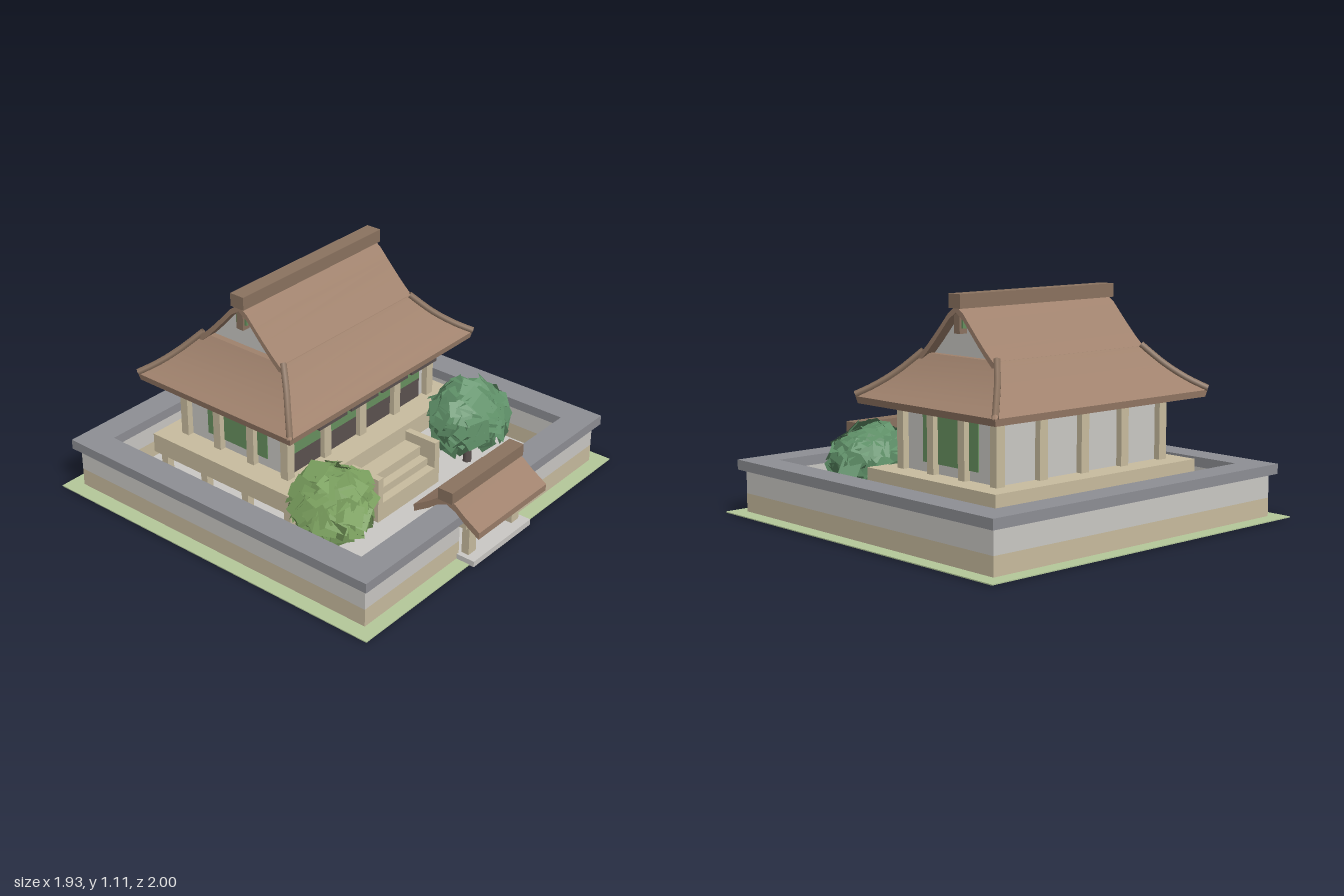
import * as THREE from 'three';
import { toCreasedNormals } from 'three/addons/utils/BufferGeometryUtils.js';

const mat = (name, color, side = THREE.FrontSide) => {
  const m = new THREE.MeshStandardMaterial({ color, side });
  m.name = name;
  return m;
};

export function createModel() {
  const M = {
    roof: mat('roof brown', 0xa0826d),
    ridge: mat('ridge brown', 0x8b7360),
    wood: mat('pale wood', 0xc9bd9f),
    plaster: mat('plaster', 0xcbc9c5),
    cap: mat('slate', 0x8e8f95),
    grass: mat('grass', 0xb5c99a),
    green: mat('shutter green', 0x68915f),
    dark: mat('dark wood', 0x5c5250),
    leafA: mat('light leaves', 0x7a9f5e, THREE.DoubleSide),
    leafB: mat('cool leaves', 0x5f9068, THREE.DoubleSide),
  };
  const model = new THREE.Group();
  model.name = 'templeCourtyard';
  const group = (name, x = 0, z = 0) => {
    const g = new THREE.Group();
    g.name = name;
    g.position.set(x, 0, z);
    model.add(g);
    return g;
  };
  const add = (parent, name, geo, m) => {
    const mesh = new THREE.Mesh(geo, m);
    mesh.name = name;
    parent.add(mesh);
    return mesh;
  };
  // Box given by its limits on each axis
  const box = (parent, name, m, x0, x1, y0, y1, z0, z1) => {
    const mesh = add(parent, name, new THREE.BoxGeometry(x1 - x0, y1 - y0, z1 - z0), m);
    mesh.position.set((x0 + x1) / 2, (y0 + y1) / 2, (z0 + z1) / 2);
    return mesh;
  };

  // Ground
  const yard = group('courtyard', 0, -0.035);
  box(yard, 'grassBorder', M.grass, -0.965, 0.965, 0.004, 0.009, -0.963, 0.96);
  box(yard, 'pavedFloor', M.plaster, -0.87, 0.87, 0.002, 0.016, -0.87, 0.87);

  // Perimeter wall in layers, with an opening for the gate at the front
  const layers = [
    ['wallBase', M.wood, 0.01, 0.1, 0.888, 0.805],
    ['wallPlaster', M.plaster, 0.1, 0.216, 0.888, 0.805],
    ['wallCap', M.cap, 0.216, 0.265, 0.918, 0.775],
  ];
  for (const [name, m, y0, y1, o, i] of layers) {
    box(yard, name + 'Back', m, -o, o, y0, y1, -o, -i);
    for (const s of [-1, 1]) {
      const side = s < 0 ? [-o, -i] : [i, o];
      box(yard, name + 'Side', m, ...side, y0, y1, -i, i);
      const front = s < 0 ? [-o, -0.21] : [0.21, o];
      box(yard, name + 'Front', m, ...front, y0, y1, i, o);
    }
  }

  // Roof slab with a curved profile of [half depth, height], running along x
  const gableRoof = (parent, name, pts, thick, halfX) => {
    const top = [...pts.slice(1).reverse().map(([d, y]) => [-d, y]), ...pts];
    const under = top.map(([d, y]) => [d * 0.985, y - thick]).reverse();
    const shape = new THREE.Shape([...top, ...under].map(p => new THREE.Vector2(...p)));
    const geo = new THREE.ExtrudeGeometry(shape, { depth: halfX * 2, bevelEnabled: false });
    geo.translate(0, 0, -halfX).rotateY(Math.PI / 2);
    return add(parent, name, toCreasedNormals(geo, 0.5), M.roof);
  };

  // Gate
  const gate = group('gate', 0, 0.815);
  box(gate, 'gateStep', M.plaster, -0.225, 0.225, 0.005, 0.035, -0.12, 0.135);
  for (const x of [-0.17, 0.17]) {
    for (const z of [-0.08, 0.065]) {
      box(gate, 'gatePost', M.wood, x - 0.028, x + 0.028, 0.035, 0.2, z - 0.02, z + 0.02);
    }
    box(gate, 'gateTie', M.wood, x - 0.02, x + 0.02, 0.185, 0.212, -0.13, 0.13);
  }
  for (const z of [-0.08, 0.065]) {
    box(gate, 'gateBeam', M.wood, -0.225, 0.225, 0.188, 0.215, z - 0.02, z + 0.02);
  }
  gableRoof(gate, 'gateRoof', [[0, 0.345], [0.05, 0.325], [0.1, 0.286], [0.185, 0.233]], 0.036, 0.265);
  box(gate, 'gateRidge', M.ridge, -0.277, 0.277, 0.328, 0.388, -0.04, 0.04);

  // House platform on short posts
  const house = group('house', 0, -0.228);
  box(house, 'veranda', M.wood, -0.645, 0.645, 0.185, 0.284, -0.44, 0.445);
  for (let i = 0; i <= 4; i++) {
    for (let k = 0; k <= 3; k++) {
      const x = (i - 2) * 0.3, z = (k - 1.5) * 0.265;
      box(house, 'footing', M.wood, x - 0.02, x + 0.02, 0.01, 0.19, z - 0.02, z + 0.02);
    }
  }

  // House walls and columns
  box(house, 'walls', M.plaster, -0.515, 0.515, 0.284, 0.59, -0.31, 0.31);
  for (let i = 0; i <= 4; i++) {
    for (let k = 0; k <= 3; k++) {
      if (i % 4 && k % 3) continue;
      const x = (i - 2) * 0.262, z = (k - 1.5) * 0.2133;
      box(house, 'column', M.wood, x - 0.024, x + 0.024, 0.284, 0.59, z - 0.022, z + 0.022);
    }
  }
  box(house, 'frontScreen', M.green, -0.47, 0.47, 0.385, 0.575, 0.309, 0.315);
  box(house, 'frontLowerPanel', M.dark, -0.47, 0.47, 0.284, 0.385, 0.309, 0.315);
  for (const s of [-1, 1]) {
    const x = s * 0.516;
    box(house, 'sideScreen', M.green, x - 0.004, x + 0.004, 0.33, 0.57, -0.19, 0.19);
  }
  for (let i = 0; i < 4; i++) {
    const x = (i - 1.5) * 0.227;
    box(house, 'raisedShutter', M.dark, x - 0.098, x + 0.098, 0.543, 0.573, 0.345, 0.445);
  }

  // Entrance stairs
  const stairs = group('stairs');
  [[0.2, 0.31], [0.15, 0.355], [0.11, 0.4]].forEach(([y, z]) =>
    box(stairs, 'step', M.wood, -0.2, 0.2, 0.003, y, 0.2, z));
  for (const s of [-1, 1]) {
    const x = s * 0.218;
    box(stairs, 'stairCheek', M.wood, x - 0.018, x + 0.018, 0.003, 0.25, 0.2, 0.4);
  }

  // Lower roof: rectangular rings [half width, half depth, height], closed at both ends
  const rings = [
    [0, 0, 0.585], [0.675, 0.473, 0.585], [0.682, 0.48, 0.618], [0.63, 0.428, 0.652],
    [0.58, 0.378, 0.692], [0.53, 0.328, 0.74], [0.48, 0.27, 0.8], [0.462, 0.25, 0.825], [0, 0, 0.825],
  ];
  const signs = [[-1, 1], [1, 1], [1, -1], [-1, -1]];
  const pos = [], idx = [];
  for (const [hx, hz, y] of rings) for (const [a, b] of signs) pos.push(a * hx, y, b * hz);
  for (let r = 0; r < rings.length - 1; r++) {
    for (let k = 0; k < 4; k++) {
      const a = r * 4 + k, b = r * 4 + (k + 1) % 4;
      idx.push(a, b, b + 4, a, b + 4, a + 4);
    }
  }
  const skirt = new THREE.BufferGeometry();
  skirt.setAttribute('position', new THREE.Float32BufferAttribute(pos, 3));
  skirt.setIndex(idx);
  add(house, 'lowerRoof', toCreasedNormals(skirt, 0.4), M.roof);

  // Hip ridges
  for (const [a, b] of signs) {
    const path = new THREE.CatmullRomCurve3([2, 3, 4, 5, 7].map(i =>
      new THREE.Vector3(a * rings[i][0], rings[i][2] + 0.008, b * rings[i][1])));
    const hip = new THREE.TubeGeometry(path, 10, 0.017, 6);
    add(house, 'hipRidge', hip, M.ridge).material.side = THREE.DoubleSide;
  }

  // Upper roof, gable wall, gable ornaments and main ridge
  gableRoof(house, 'upperRoof',
    [[0, 1.056], [0.05, 1.022], [0.1, 0.968], [0.15, 0.915], [0.2, 0.865], [0.262, 0.81]], 0.03, 0.483);
  const gable = new THREE.Shape([[-0.23, 0.81], [0.23, 0.81], [0.1, 0.945], [0, 1.03], [-0.1, 0.945]]
    .map(p => new THREE.Vector2(...p)));
  const gableGeo = new THREE.ExtrudeGeometry(gable, { depth: 0.86, bevelEnabled: false });
  gableGeo.translate(0, 0, -0.43).rotateY(Math.PI / 2);
  add(house, 'gableWall', gableGeo, M.plaster);
  for (const s of [-1, 1]) {
    const x = s * 0.455;
    box(house, 'gableLeaf', M.green, x - 0.012, x + 0.012, 0.955, 1.005, -0.032, 0.032);
    box(house, 'gablePendant', M.ridge, x - 0.022, x + 0.022, 0.93, 1.025, -0.02, 0.02);
  }
  box(house, 'mainRidge', M.ridge, -0.492, 0.492, 1.045, 1.11, -0.04, 0.04);

  // Bushes: square leaf cards scattered over an ellipsoid
  const bush = (name, m, cx, cz, seed) => {
    const rnd = () => (seed = (seed * 16807) % 2147483647) / 2147483647;
    const g = group(name, cx, cz);
    const pts = [], v = new THREE.Vector3(), q = new THREE.Quaternion();
    const up = new THREE.Vector3(0, 0, 1), n = new THREE.Vector3();
    const count = 130;
    for (let i = 0; i < count; i++) {
      const h = 1 - 1.7 * (i + 0.5) / count, a = i * 2.39996;
      const w = Math.sqrt(1 - h * h), f = 0.82 + 0.18 * rnd();
      const c = new THREE.Vector3(Math.cos(a) * w * 0.195 * f, 0.285 + h * 0.175 * f, Math.sin(a) * w * 0.185 * f);
      n.set(Math.cos(a) * w + rnd() - 0.5, h + 0.2 + rnd() - 0.5, Math.sin(a) * w + rnd() - 0.5).normalize();
      q.setFromUnitVectors(up, n);
      const size = 0.035 + 0.022 * rnd(), spin = rnd() * 6.28;
      for (const k of [0, 1, 2, 0, 2, 3]) {
        const t = spin + k * Math.PI / 2;
        v.set(Math.cos(t) * size * 1.41, Math.sin(t) * size * 1.41, 0).applyQuaternion(q).add(c);
        pts.push(v.x, v.y, v.z);
      }
    }
    const geo = new THREE.BufferGeometry();
    geo.setAttribute('position', new THREE.Float32BufferAttribute(pts, 3));
    geo.computeVertexNormals();
    add(g, 'leaves', geo, m);
    const trunk = add(g, 'trunk', new THREE.CylinderGeometry(0.018, 0.024, 0.25, 6), M.dark);
    trunk.position.y = 0.125;
  };
  bush('rightBush', M.leafA, -0.55, 0.39, 11);
  bush('leftBush', M.leafB, 0.485, 0.39, 77);

  return model;
}
